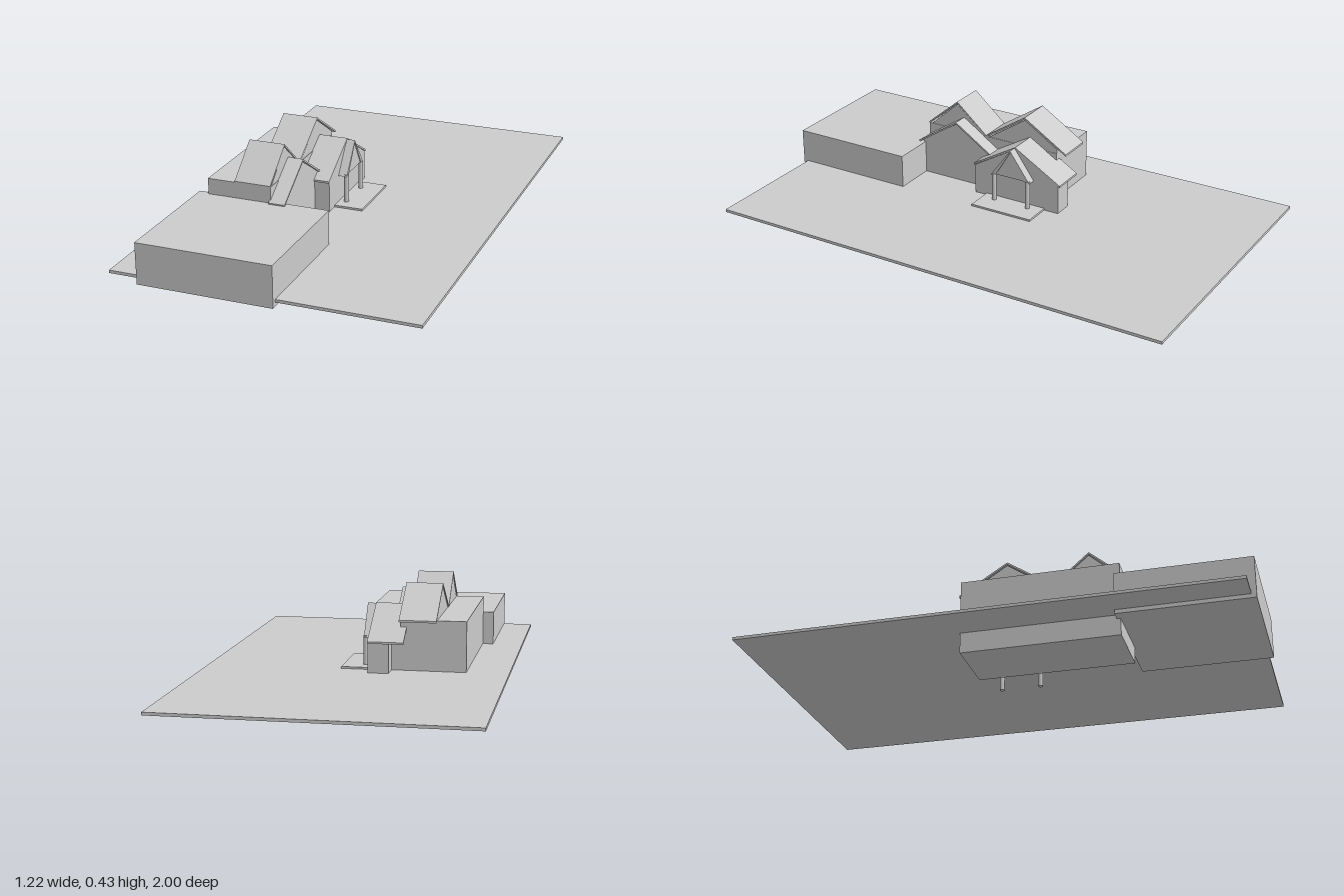
import * as THREE from 'three';

const material = new THREE.MeshStandardMaterial({ color: 0xcccccc, flatShading: true });

export function createModel() {
  const model = new THREE.Group();

  function add(name, geometry) {
    const mesh = new THREE.Mesh(geometry, material);
    mesh.name = name;
    model.add(mesh);
    return mesh;
  }

  // Box given by its limits along each axis
  function box(name, [x0, x1], [y0, y1], [z0, z1]) {
    const g = new THREE.BoxGeometry(x1 - x0, y1 - y0, z1 - z0);
    g.translate((x0 + x1) / 2, (y0 + y1) / 2, (z0 + z1) / 2);
    return add(name, g);
  }

  // Profile of [z, y] points extruded along x
  function prism(name, [x0, x1], points) {
    const shape = new THREE.Shape(points.map(([z, y]) => new THREE.Vector2(-z, y)));
    const g = new THREE.ExtrudeGeometry(shape, { depth: x1 - x0, bevelEnabled: false });
    g.rotateY(Math.PI / 2);
    g.translate(x0, 0, 0);
    return add(name, g);
  }

  // Thin folded roof: front eave, ridge and back eave as [z, y]
  function roof(name, xs, front, ridge, back, t = 0.008) {
    const drop = ([z, y]) => [z, y - t];
    prism(name, xs, [front, ridge, back, drop(back), drop(ridge), drop(front)]);
  }

  // Ground and sunken blocks
  box('ground', [-0.61, 0.61], [0.083, 0.095], [-1, 0.98]);
  box('frontBlock', [-0.485, 0.06], [0.067, 0.235], [0.475, 1]);
  box('mainBuilding', [-0.44, -0.175], [0, 0.3], [-0.135, 0.49]);

  // Twin gables on the main building
  prism('upperFrontGable', [-0.322, -0.177], [[0.488, 0.29], [0.348, 0.415], [0.2, 0.29]]);
  roof('upperFrontRoof', [-0.325, -0.175], [0.492, 0.305], [0.348, 0.427], [0.203, 0.302]);
  prism('upperBackGable', [-0.322, -0.177], [[0.205, 0.29], [0.018, 0.415], [-0.135, 0.318], [-0.135, 0.29]]);
  roof('upperBackRoof', [-0.325, -0.175], [0.208, 0.302], [0.018, 0.427], [-0.178, 0.305]);

  // Middle wing
  prism('middleWing', [-0.18, -0.12],
    [[0.485, 0.067], [0.485, 0.245], [0.315, 0.352], [0.128, 0.235], [0.128, 0.067]]);
  roof('middleWingRoof', [-0.18, -0.112], [0.502, 0.24], [0.315, 0.362], [0.142, 0.25]);

  // Entrance wing
  prism('entranceWing', [-0.14, -0.057],
    [[0.185, 0.085], [0.185, 0.222], [-0.008, 0.336], [-0.21, 0.217], [-0.21, 0.085]]);
  prism('entranceWingInner', [-0.18, -0.14],
    [[0.185, 0.085], [0.185, 0.222], [-0.008, 0.336], [-0.135, 0.258], [-0.135, 0.085]]);
  roof('entranceWingRoof', [-0.2, -0.055], [0.192, 0.228], [-0.008, 0.345], [-0.217, 0.222]);

  // Porch: slab, pediment, roof and columns
  box('porchSlab', [-0.06, 0.063], [0.088, 0.103], [-0.146, 0.13]);
  prism('porchPediment', [-0.056, -0.024], [[0.065, 0.22], [-0.004, 0.335], [-0.073, 0.22]]);
  prism('porchRoof', [-0.056, -0.02],
    [[0.088, 0.215], [-0.004, 0.342], [-0.096, 0.215], [-0.073, 0.22], [-0.004, 0.334], [0.065, 0.22]]);
  for (const z of [0.075, -0.084]) {
    const column = new THREE.CylinderGeometry(0.01, 0.01, 0.21, 16);
    column.translate(-0.026, 0.117, z);
    add('porchColumn', column);
  }

  return model;
}
